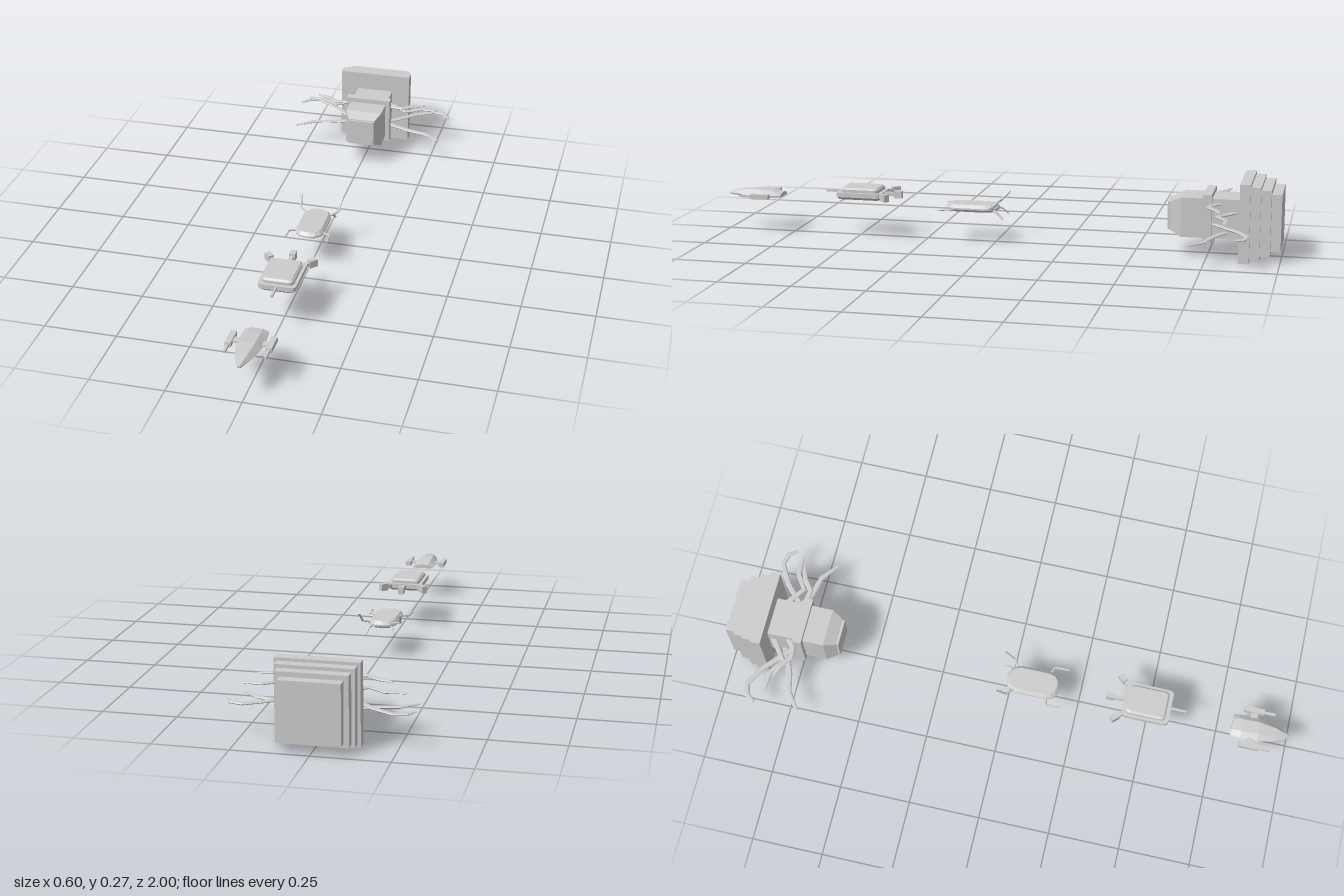
import * as THREE from 'three';

const mat = new THREE.MeshStandardMaterial({ color: 0xcccccc, flatShading: true });
const V = (x, y, z) => new THREE.Vector3(x, y, z);

function add(parent, name, geo, x = 0, y = 0, z = 0, ry = 0) {
  const m = new THREE.Mesh(geo, mat);
  m.name = name;
  m.position.set(x, y, z);
  m.rotation.y = ry;
  parent.add(m);
  return m;
}
const box = (w, h, d) => new THREE.BoxGeometry(w, h, d);

// Closed skin through rings, each counter-clockwise seen from the last ring's end
function loft(rings) {
  const p = [], n = rings[0].length;
  const tri = (...v) => v.forEach(q => p.push(q.x, q.y, q.z));
  for (let k = 0; k < rings.length - 1; k++) {
    const a = rings[k], b = rings[k + 1];
    for (let i = 0; i < n; i++) {
      const j = (i + 1) % n;
      tri(a[i], a[j], b[j]);
      tri(a[i], b[j], b[i]);
    }
  }
  const first = rings[0], last = rings[rings.length - 1];
  for (let i = 1; i < n - 1; i++) {
    tri(first[0], first[i + 1], first[i]);
    tri(last[0], last[i], last[i + 1]);
  }
  const g = new THREE.BufferGeometry();
  g.setAttribute('position', new THREE.Float32BufferAttribute(p, 3));
  g.computeVertexNormals();
  return g;
}

// Flat hexagonal limb swept along points, narrowing at its tip
function limb(pts, w, h, tip = 0.5) {
  return loft(pts.map((c, i) => {
    const t = pts[Math.min(i + 1, pts.length - 1)].clone().sub(pts[Math.max(i - 1, 0)]).normalize();
    const side = V(0, 1, 0).cross(t).normalize();
    const up = t.clone().cross(side);
    const s = i === pts.length - 1 ? tip : 1;
    return [[1, 0], [0.6, 1], [-0.6, 1], [-1, 0], [-0.6, -1], [0.6, -1]].map(([a, b]) =>
      c.clone().addScaledVector(side, a * s * w / 2).addScaledVector(up, b * s * h / 2));
  }));
}

// Horizontal rounded rectangle at height y
function plan(hw, hd, r, y, seg = 3) {
  const ring = [];
  [[1, 1], [-1, 1], [-1, -1], [1, -1]].forEach(([sx, sz], q) => {
    for (let i = 0; i <= seg; i++) {
      const a = (q + i / seg) * Math.PI / 2;
      ring.push(V(sx * (hw - r) + r * Math.cos(a), y, -sz * (hd - r) - r * Math.sin(a)));
    }
  });
  return ring;
}

// Large carrier with stepped stern and four pairs of tentacles
function carrier() {
  const g = new THREE.Group();
  g.name = 'carrier';
  const cy = 0.135;
  const block = (name, size, z0, z1) =>
    add(g, name, box(size, size, z1 - z0), 0, cy, (z0 + z1) / 2);
  block('carrierHull', 0.137, -0.87, -0.66);
  block('collar', 0.17, -0.765, -0.735);
  [[0.27, -0.898, -0.862], [0.25, -0.932, -0.898], [0.228, -0.966, -0.932], [0.196, -1, -0.966]]
    .forEach(([s, a, b]) => block('sternPlate', s, a, b));
  const square = (h, z) => [V(h, cy - h, z), V(h, cy + h, z), V(-h, cy + h, z), V(-h, cy - h, z)];
  add(g, 'carrierNose', loft([square(0.0685, -0.66), square(0.05, -0.622)]));
  block('noseHatch', 0.095, -0.625, -0.612);

  const tentacles = [
    [0.185, [[0.05, -0.8], [0.09, -0.765], [0.13, -0.76], [0.17, -0.79], [0.215, -0.805]]],
    [0.158, [[0.05, -0.855], [0.085, -0.83], [0.14, -0.79], [0.195, -0.825], [0.26, -0.825]]],
    [0.115, [[0.05, -0.76], [0.1, -0.8], [0.165, -0.86], [0.235, -0.9], [0.275, -0.89], [0.297, -0.86]]],
    [0.088, [[0.05, -0.82], [0.11, -0.79], [0.16, -0.77], [0.225, -0.755], [0.283, -0.71]]],
  ];
  for (const [y, path] of tentacles) for (const s of [-1, 1])
    add(g, 'tentacle', limb(path.map(([x, z]) => V(s * x, y, z)), 0.02, 0.007));
  return g;
}

// Flat scout with rounded ends and six thin claws
function scout() {
  const g = new THREE.Group();
  g.name = 'scout';
  g.position.set(-0.008, 0, 0.085);
  add(g, 'scoutHull', loft([
    plan(0.036, 0.08, 0.03, 0.108), plan(0.05, 0.095, 0.042, 0.117),
    plan(0.05, 0.095, 0.042, 0.123), plan(0.04, 0.085, 0.034, 0.134),
  ]));
  for (const s of [-1, 1]) {
    const claw = (name, pts) => add(g, name, limb(pts.map(([x, y, z]) => V(s * x, y, z)), 0.009, 0.006, 0.8));
    claw('frontClaw', [[0.04, 0.119, 0.05], [0.072, 0.119, 0.062], [0.074, 0.119, 0.112]]);
    claw('upperRearClaw', [[0.035, 0.121, -0.06], [0.068, 0.133, -0.085], [0.074, 0.167, -0.118]]);
    claw('lowerRearClaw', [[0.03, 0.118, -0.075], [0.043, 0.112, -0.095], [0.05, 0.091, -0.118]]);
  }
  return g;
}

// Layered gunship with three rear thrusters and a bow gun
function gunship() {
  const g = new THREE.Group();
  g.name = 'gunship';
  g.position.set(-0.008, 0, 0.493);
  add(g, 'gunshipHull', loft([
    plan(0.055, 0.074, 0.012, 0.136), plan(0.064, 0.083, 0.015, 0.145), plan(0.064, 0.083, 0.015, 0.161),
  ]));
  add(g, 'deck', loft([
    plan(0.053, 0.07, 0.014, 0.16), plan(0.053, 0.07, 0.014, 0.171), plan(0.046, 0.063, 0.012, 0.177),
  ]));
  add(g, 'bowGun', box(0.008, 0.008, 0.07), 0, 0.155, 0.102);
  for (const s of [-1, 0, 1]) {
    const pod = new THREE.Group();
    pod.name = 'rearThruster';
    pod.position.set(s * 0.044, 0.152, -0.07);
    pod.rotation.y = -s * 0.75;
    const reach = s ? 0.056 : 0.076;
    add(pod, 'thrusterArm', box(0.013, 0.013, reach), 0, 0, -reach / 2);
    add(pod, 'thrusterBlock', box(0.02, 0.026, 0.03), 0, 0, s ? -0.044 : -0.062);
    pod.rotation.y = s * 0.75 * -1;
    g.add(pod);
  }
  return g;
}

// Pointed fighter with a gun pod on each side
function fighter() {
  const g = new THREE.Group();
  g.name = 'fighter';
  g.position.x = -0.008;
  const sections = [[0.795, 0.04, 0.14], [0.83, 0.043, 0.147], [0.89, 0.043, 0.151],
    [0.95, 0.028, 0.146], [0.98, 0.015, 0.14], [1, 0.005, 0.134]];
  add(g, 'fighterHull', loft(sections.map(([z, w, top]) => [
    V(w * 0.85, 0.126, z), V(w, 0.131, z), V(w * 0.5, top, z),
    V(-w * 0.5, top, z), V(-w, 0.131, z), V(-w * 0.85, 0.126, z),
  ])));
  for (const s of [-1, 1]) {
    add(g, 'podStrut', box(0.035, 0.006, 0.025), s * 0.05, 0.133, 0.865);
    add(g, 'gunPod', box(0.019, 0.017, 0.07), s * 0.066, 0.133, 0.863);
    add(g, 'podBarrel', box(0.009, 0.008, 0.045), s * 0.066, 0.133, 0.915);
  }
  return g;
}

export function createModel() {
  const model = new THREE.Group();
  model.name = 'fleet';
  model.add(carrier(), scout(), gunship(), fighter());
  return model;
}
